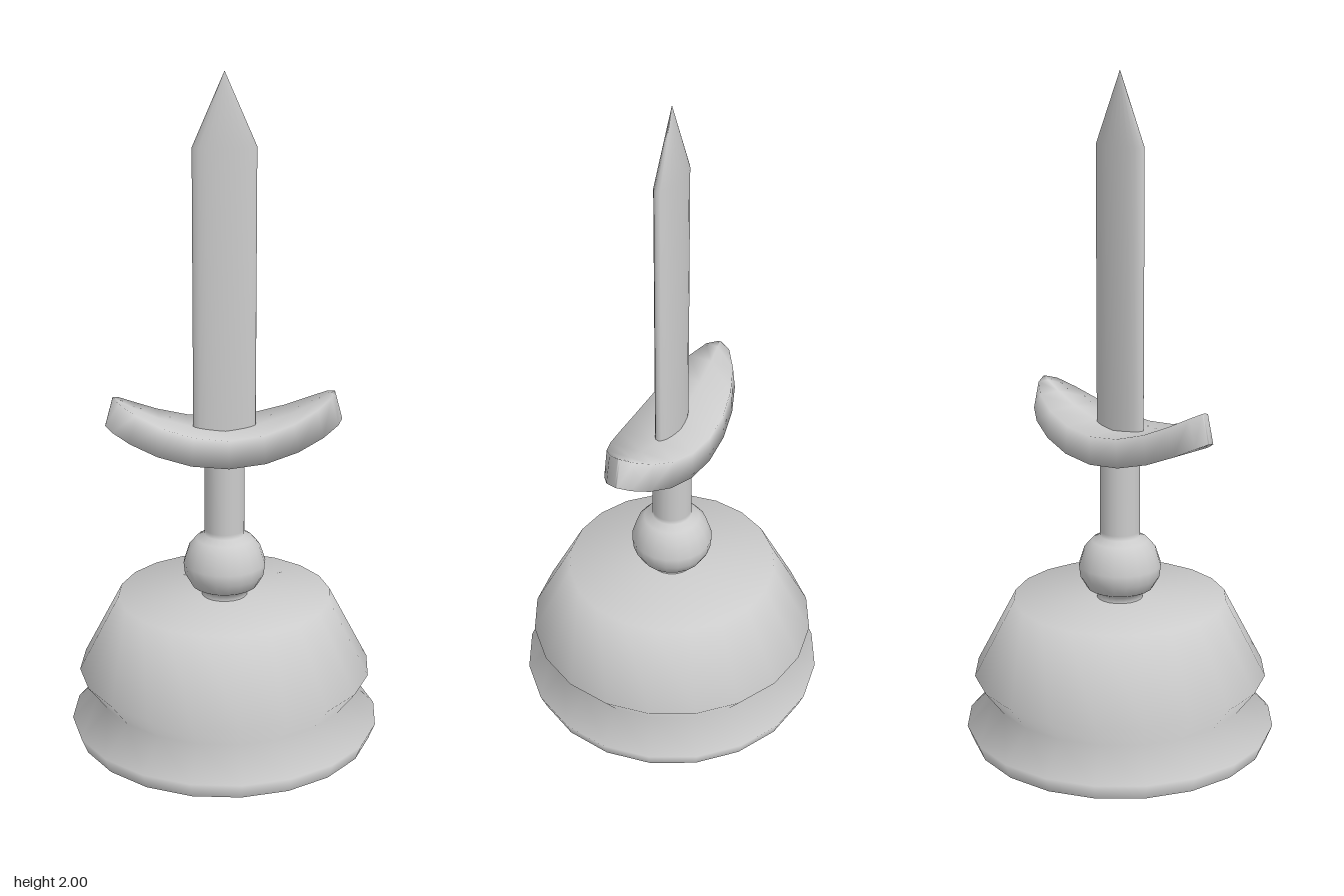
import * as THREE from 'three';
import { mergeVertices } from 'three/addons/utils/BufferGeometryUtils.js';

const SIDES = 20;

function material(side = THREE.FrontSide) {
  return new THREE.MeshStandardMaterial({ color: 0xcccccc, side });
}

function part(name, geometry, side) {
  const mesh = new THREE.Mesh(geometry, material(side));
  mesh.name = name;
  return mesh;
}

// Smooth turned shape from [radius, height] pairs, bottom to top
function turned(profile) {
  return new THREE.LatheGeometry(profile.map(([r, y]) => new THREE.Vector2(r, y)), SIDES);
}

// Elliptical slab bent upwards towards both ends
function bentGuard() {
  let geometry = new THREE.BoxGeometry(1, 1, 1, 10, 1, 2);
  const p = geometry.attributes.position;
  for (let i = 0; i < p.count; i++) {
    const angle = p.getX(i) * Math.PI;
    const s = Math.sin(angle);
    const top = p.getY(i) > 0;
    p.setXYZ(
      i,
      (top ? 0.327 : 0.35) * s,
      (top ? 0.965 : 0.88) + 0.105 * s * s,
      p.getZ(i) * 0.25 * Math.max(Math.cos(angle), 0.03)
    );
  }
  geometry.deleteAttribute('normal');
  geometry.deleteAttribute('uv');
  geometry = mergeVertices(geometry);
  geometry.computeVertexNormals();
  return geometry;
}

export function createModel() {
  const model = new THREE.Group();
  model.name = 'plungerSword';

  // Hollow cup, open underneath, with a pinched neck above the rim
  model.add(part('cup', turned([
    [0.45, 0], [0.469, 0.048], [0.385, 0.133], [0.443, 0.21], [0.322, 0.442], [0, 0.442],
  ]), THREE.DoubleSide));

  // Handle with a round knob at its foot
  model.add(part('handle', turned([
    [0.07, 0.44], [0.066, 0.458], [0.1, 0.475], [0.12, 0.51], [0.124, 0.545],
    [0.108, 0.595], [0.085, 0.622], [0.06, 0.635], [0.06, 0.65], [0.06, 0.93],
  ])));

  // Curved crossguard
  model.add(part('crossguard', bentGuard()));

  // Flat oval blade with a pointed tip
  const blade = turned([[0.0925, 0.93], [0.0925, 1.79], [0, 2]]);
  blade.scale(1, 1, 0.32);
  model.add(part('blade', blade));

  return model;
}
